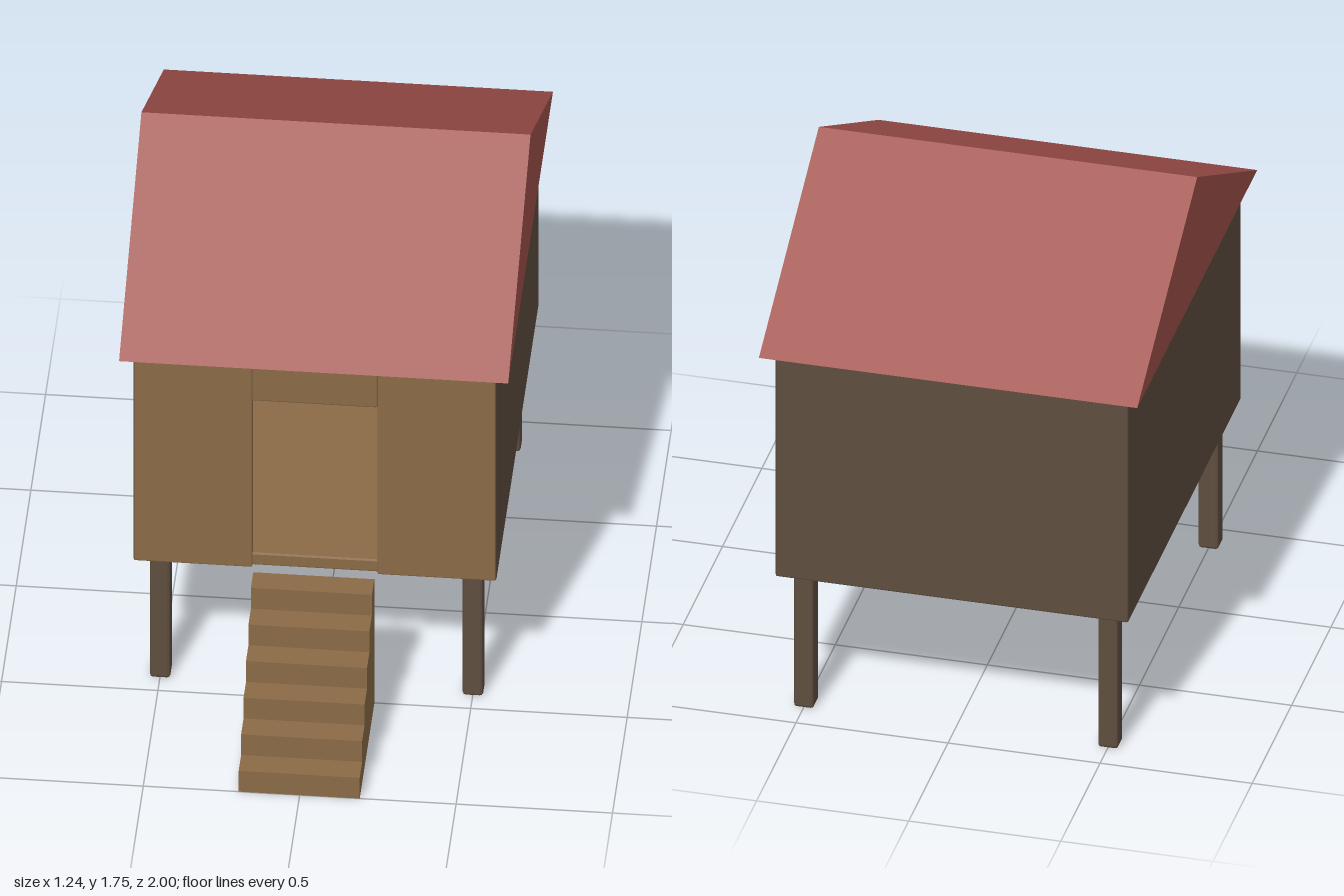
import * as THREE from 'three';
import { RoundedBoxGeometry } from 'three/addons/geometries/RoundedBoxGeometry.js';

const paint = (color) => new THREE.MeshStandardMaterial({ color, flatShading: true });

export function createModel() {
  const hut = new THREE.Group();
  hut.name = 'stiltHut';
  const wood = paint(0x8b6b47);
  const darkWood = paint(0x5f4e3f);
  const red = paint(0xa0504a);

  const add = (name, geometry, material) => {
    const mesh = new THREE.Mesh(geometry, material);
    mesh.name = name;
    hut.add(mesh);
    return mesh;
  };

  // Box with slightly bevelled edges, given by its [min, max] on each axis
  const board = (name, material, [x0, x1], [y0, y1], [z0, z1], bevel = 0.005) => {
    const g = new RoundedBoxGeometry(x1 - x0, y1 - y0, z1 - z0, 1, bevel);
    add(name, g, material).position.set((x0 + x1) / 2, (y0 + y1) / 2, (z0 + z1) / 2);
  };

  // Profile in the (z, y) plane extruded along x
  const prism = (name, material, points, x0, x1) => {
    const shape = new THREE.Shape(points.map(([z, y]) => new THREE.Vector2(-z, y)));
    const g = new THREE.ExtrudeGeometry(shape, { depth: x1 - x0, bevelEnabled: false });
    g.rotateY(Math.PI / 2).translate(x0, 0, 0);
    add(name, g, material);
  };

  // Floor
  board('floor', wood, [-0.57, 0.57], [0.508, 0.555], [-0.945, 0.475]);

  // Walls
  const wallY = [0.505, 1.335];
  board('backWall', darkWood, [-0.578, 0.578], wallY, [-0.955, -0.923]);
  for (const side of [-1, 1]) {
    const span = (a, b) => [side * a, side * b].sort((p, q) => p - q);
    const label = side > 0 ? 'left' : 'right';
    board(label + 'Wall', darkWood, span(0.55, 0.58), wallY, [-0.953, 0.483]);
    board(label + 'FrontPanel', wood, span(0.2, 0.578), wallY, [0.453, 0.485]);

    // Stilts
    for (const [end, z] of [['Front', 0.403], ['Back', -0.873]]) {
      board(label + end + 'Stilt', darkWood, span(0.467, 0.533), [0, 0.5], [z - 0.033, z + 0.033], 0.01);
    }
  }
  board('doorLintel', wood, [-0.2, 0.2], [1.175, 1.335], [0.453, 0.485]);

  // Solid gabled roof, ridge running along x
  prism('roof', red, [[0.525, 1.335], [-1, 1.335], [-0.237, 1.75]], -0.622, 0.622);

  // Solid stairs
  const steps = 6, rise = 0.5 / steps, run = 0.083;
  const profile = [[0.503, 0], [1, 0]];
  for (let i = 0; i < steps; i++) {
    const z = 1 - i * run;
    if (i > 0) profile.push([z, i * rise]);
    profile.push([z, (i + 1) * rise]);
  }
  profile.push([0.503, 0.5]);
  prism('stairs', wood, profile, -0.195, 0.192);

  return hut;
}
